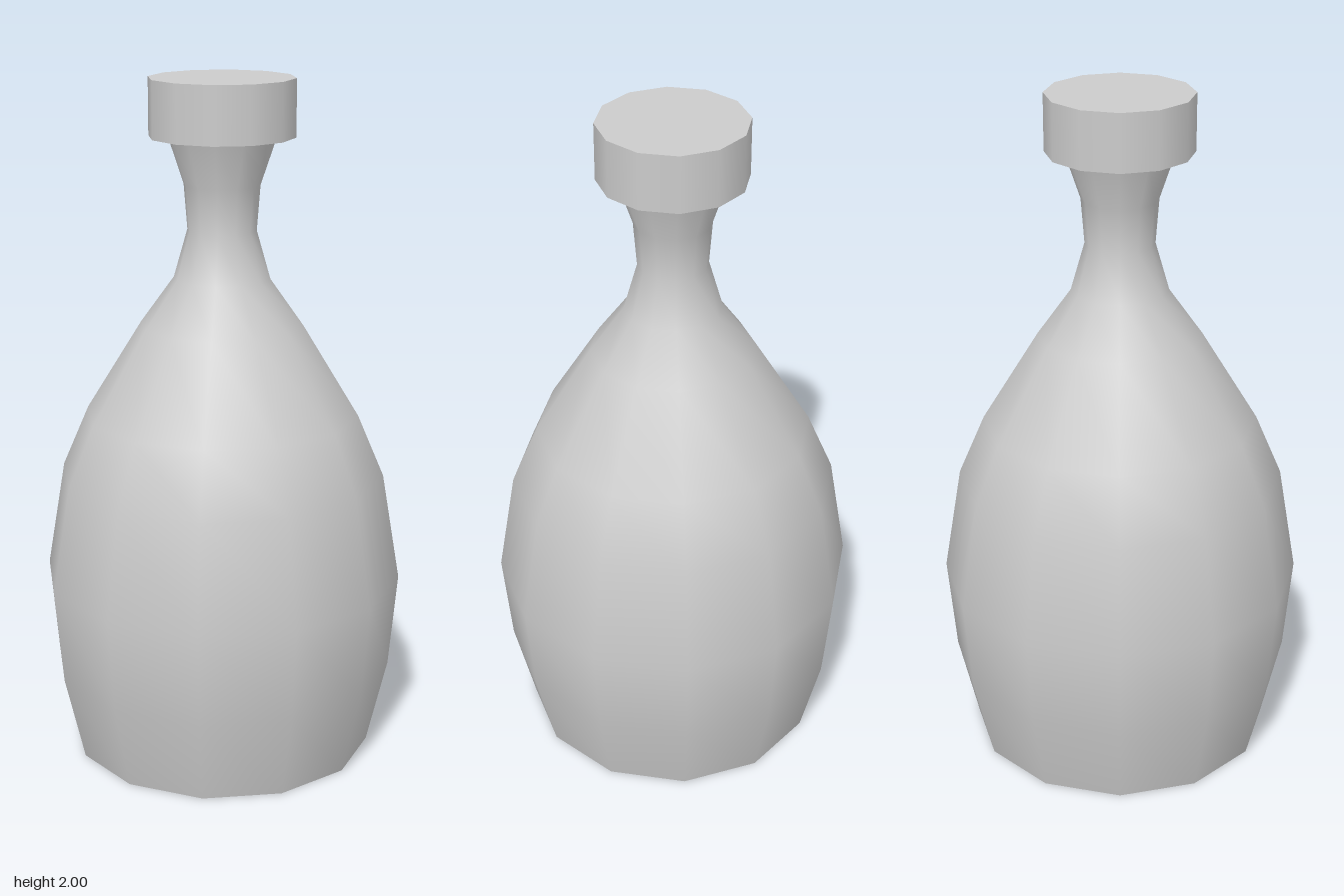
import * as THREE from 'three';

const SIDES = 12;

export function createModel() {
  const group = new THREE.Group();
  const material = new THREE.MeshStandardMaterial({ color: 0xcccccc });
  const add = (name, geometry, y = 0) => {
    const mesh = new THREE.Mesh(geometry, material);
    mesh.name = name;
    mesh.position.y = y;
    group.add(mesh);
    return mesh;
  };

  // Body and neck: [radius, height] from the base up
  const profile = [
    [0.445, 0], [0.505, 0.255], [0.53, 0.535], [0.477, 0.85], [0.4, 1.03],
    [0.237, 1.295], [0.14, 1.43], [0.1, 1.57], [0.11, 1.7], [0.157, 1.84],
  ].map(([r, y]) => new THREE.Vector2(r, y));
  add('bottleBody', new THREE.LatheGeometry(profile, SIDES));

  // Flat underside
  add('base', new THREE.CircleGeometry(0.445, SIDES).rotateX(Math.PI / 2));

  // Solid stopper on the neck
  add('cap', new THREE.CylinderGeometry(0.21, 0.21, 0.165, SIDES), 1.9175);

  return group;
}
